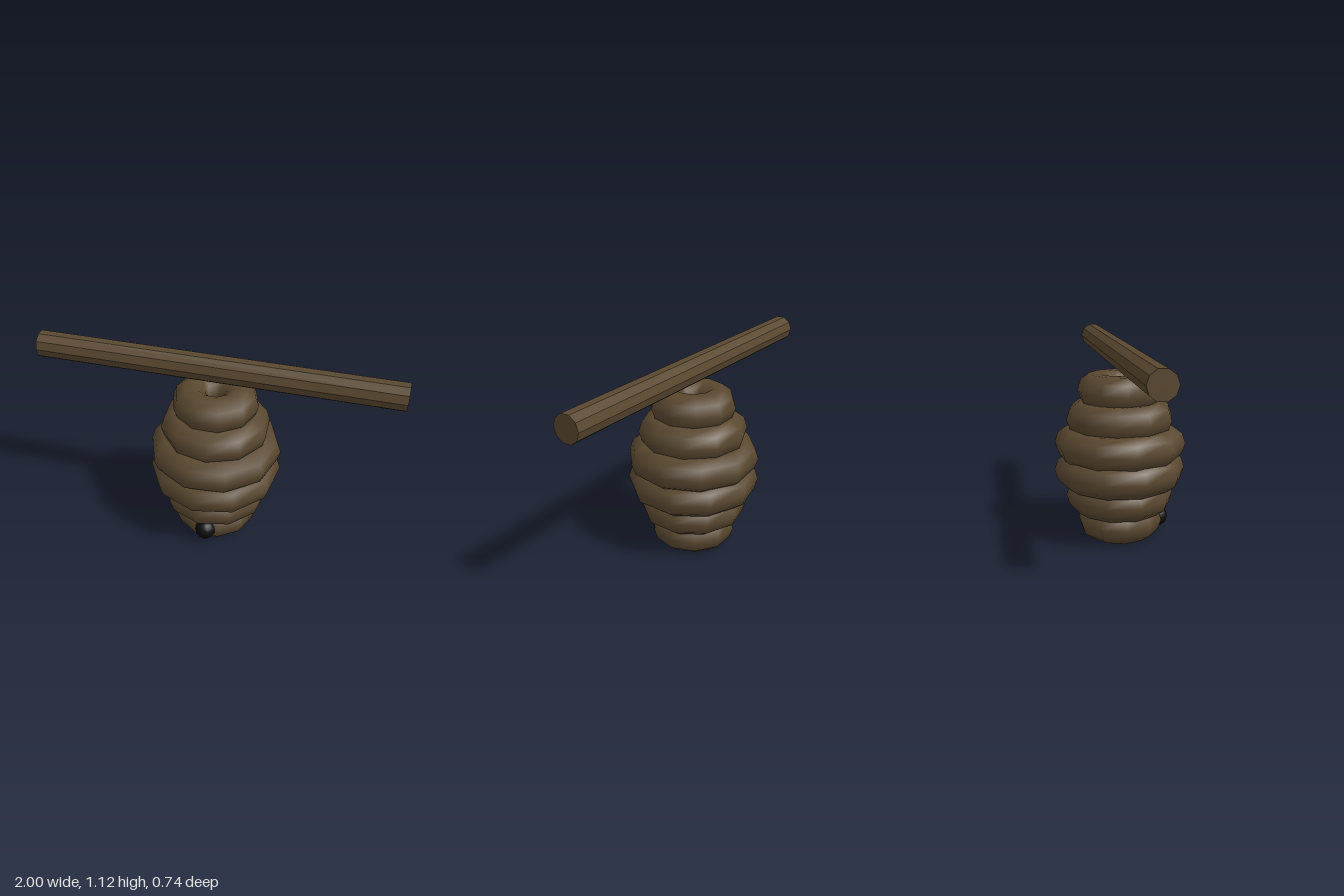
import * as THREE from 'three';

const bark = new THREE.MeshStandardMaterial({ color: 0x5a4830 });
bark.name = 'brown';
const dark = new THREE.MeshStandardMaterial({ color: 0x0c0c0c });
dark.name = 'black';

function addMesh(parent, name, geometry, material) {
  const mesh = new THREE.Mesh(geometry, material);
  mesh.name = name;
  parent.add(mesh);
  return mesh;
}

export function createModel() {
  const model = new THREE.Group();
  model.name = 'hangingBeehive';

  // Ten-sided branch with flat faces, lying along x
  const branch = new THREE.CylinderGeometry(0.075, 0.075, 2, 10).rotateZ(Math.PI / 2).toNonIndexed();
  branch.computeVertexNormals();
  addMesh(model, 'branch', branch, bark).position.y = 1.05;

  // Hive: six overlapping smooth coils, each turned a little differently
  const hive = new THREE.Group();
  hive.name = 'hive';
  model.add(hive);
  const radii = [0.14, 0.205, 0.27, 0.27, 0.205, 0.14];
  const turns = [0, 0.22, 0.22, 0.08, 0.4, 0];
  radii.forEach((radius, i) => {
    const coil = new THREE.TorusGeometry(radius, 0.1, 10, 10).rotateX(Math.PI / 2);
    const ring = addMesh(hive, 'coil' + (i + 1), coil, bark);
    ring.position.y = 0.1 + i * 0.15;
    ring.rotation.y = turns[i];
  });

  // Dark entrance at the front of the lowest coil
  addMesh(model, 'entrance', new THREE.SphereGeometry(0.058, 12, 10), dark).position.set(0, 0.1, 0.222);

  return model;
}
